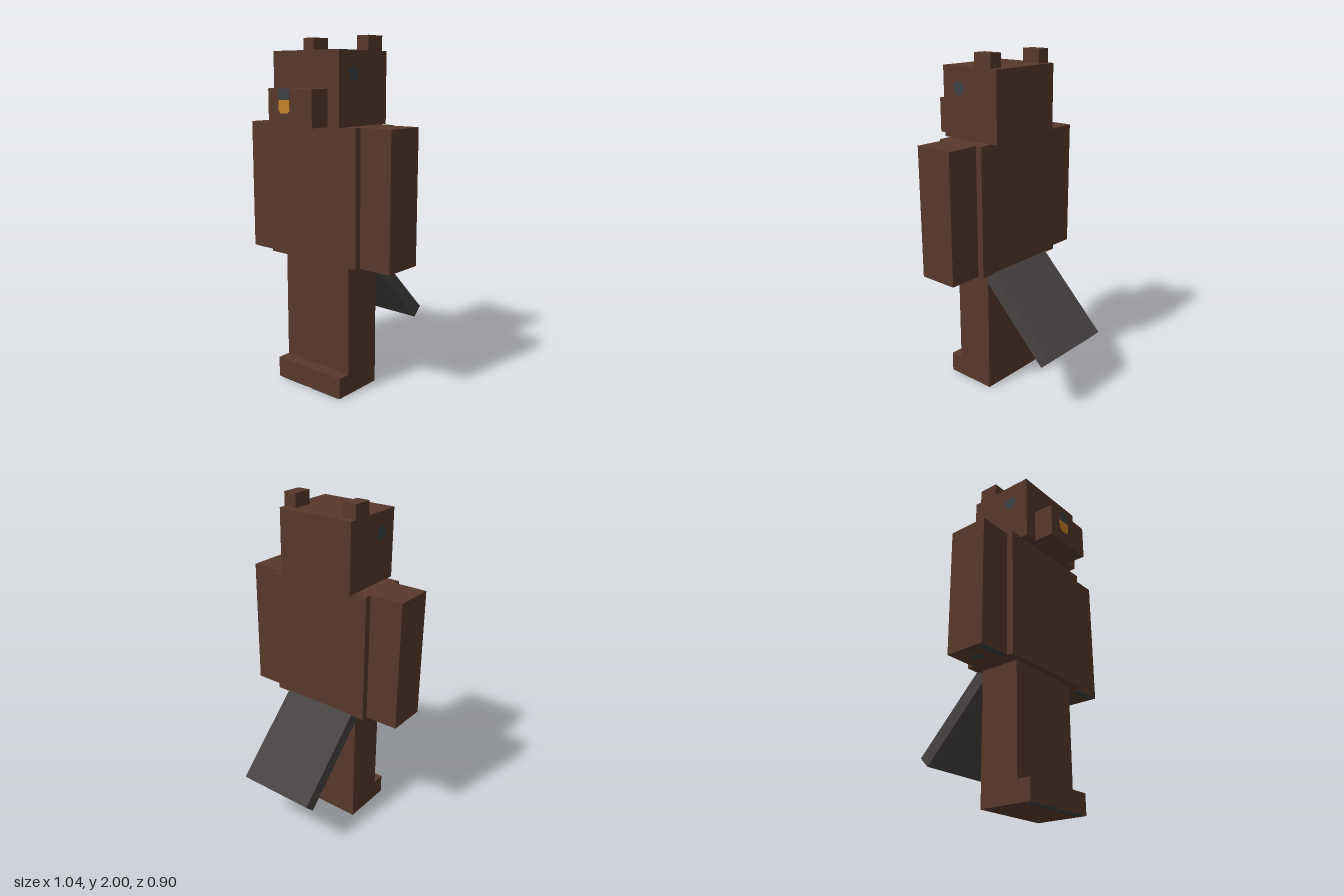
import * as THREE from 'three';

const material = (name, color) => {
  const m = new THREE.MeshStandardMaterial({ color });
  m.name = name;
  return m;
};

export function createModel() {
  const fur = material('brown fur', 0x58392b);
  const leather = material('grey tail', 0x474242);
  const dark = material('dark slate', 0x3c4145);
  const enamel = material('orange teeth', 0xc4822a);

  const model = new THREE.Group();
  model.name = 'beaver';

  // Box given by its lower and upper limits on each axis
  const box = (name, mat, [x0, x1], [y0, y1], [z0, z1]) => {
    const mesh = new THREE.Mesh(new THREE.BoxGeometry(x1 - x0, y1 - y0, z1 - z0), mat);
    mesh.position.set((x0 + x1) / 2, (y0 + y1) / 2, (z0 + z1) / 2);
    mesh.name = name;
    model.add(mesh);
    return mesh;
  };
  const span = (a, b, side) => (side > 0 ? [a, b] : [-b, -a]);

  // Body and head
  box('legs', fur, [-0.24, 0.24], [0, 0.76], [0.01, 0.25]);
  box('feet', fur, [-0.24, 0.24], [0, 0.12], [0.25, 0.33]);
  box('torso', fur, [-0.32, 0.32], [0.76, 1.52], [-0.03, 0.29]);
  box('head', fur, [-0.24, 0.24], [1.52, 1.92], [-0.07, 0.33]);
  box('snout', fur, [-0.16, 0.16], [1.52, 1.72], [0.33, 0.45]);

  // Nose and teeth, thin plates on the snout
  box('nose', dark, [-0.08, 0], [1.66, 1.72], [0.449, 0.452]);
  box('teeth', enamel, [-0.08, 0], [1.6, 1.66], [0.449, 0.452]);
  box('teethTips', enamel, [-0.07, -0.01], [1.59, 1.6], [0.449, 0.452]);

  for (const side of [1, -1]) {
    const label = side > 0 ? 'left' : 'right';
    box(label + 'Arm', fur, span(0.32, 0.52, side), [0.76, 1.52], [0.01, 0.25]);
    box(label + 'Ear', fur, span(0.16, 0.24, side), [1.92, 2], [-0.03, 0.09]);

    // Eye
    const eye = new THREE.Mesh(new THREE.CircleGeometry(0.041, 8, Math.PI / 8), dark);
    eye.position.set(side * 0.242, 1.8, 0.21);
    eye.rotation.y = side * Math.PI / 2;
    eye.name = label + 'Eye';
    model.add(eye);

    // Pads under the paws and feet
    box(label + 'PawPad', dark, span(0.38, 0.43, side), [0.758, 0.761], [0.09, 0.15]);
    box(label + 'PawClaws', dark, span(0.34, 0.5, side), [0.758, 0.761], [0.21, 0.25]);
    box(label + 'FootClaws', dark, span(0.02, 0.22, side), [-0.002, 0.001], [0.29, 0.33]);
    box(label + 'HeelPad', dark, span(0.18, 0.22, side), [-0.002, 0.001], [0.04, 0.07]);
  }

  // Flat tail slanting down and back
  const tail = box('tail', leather, [-0.24, 0.24], [0, 0.08], [0, 0.6]);
  tail.position.set(0, 0.53, -0.21);
  tail.rotation.x = -Math.PI / 4;

  return model;
}
